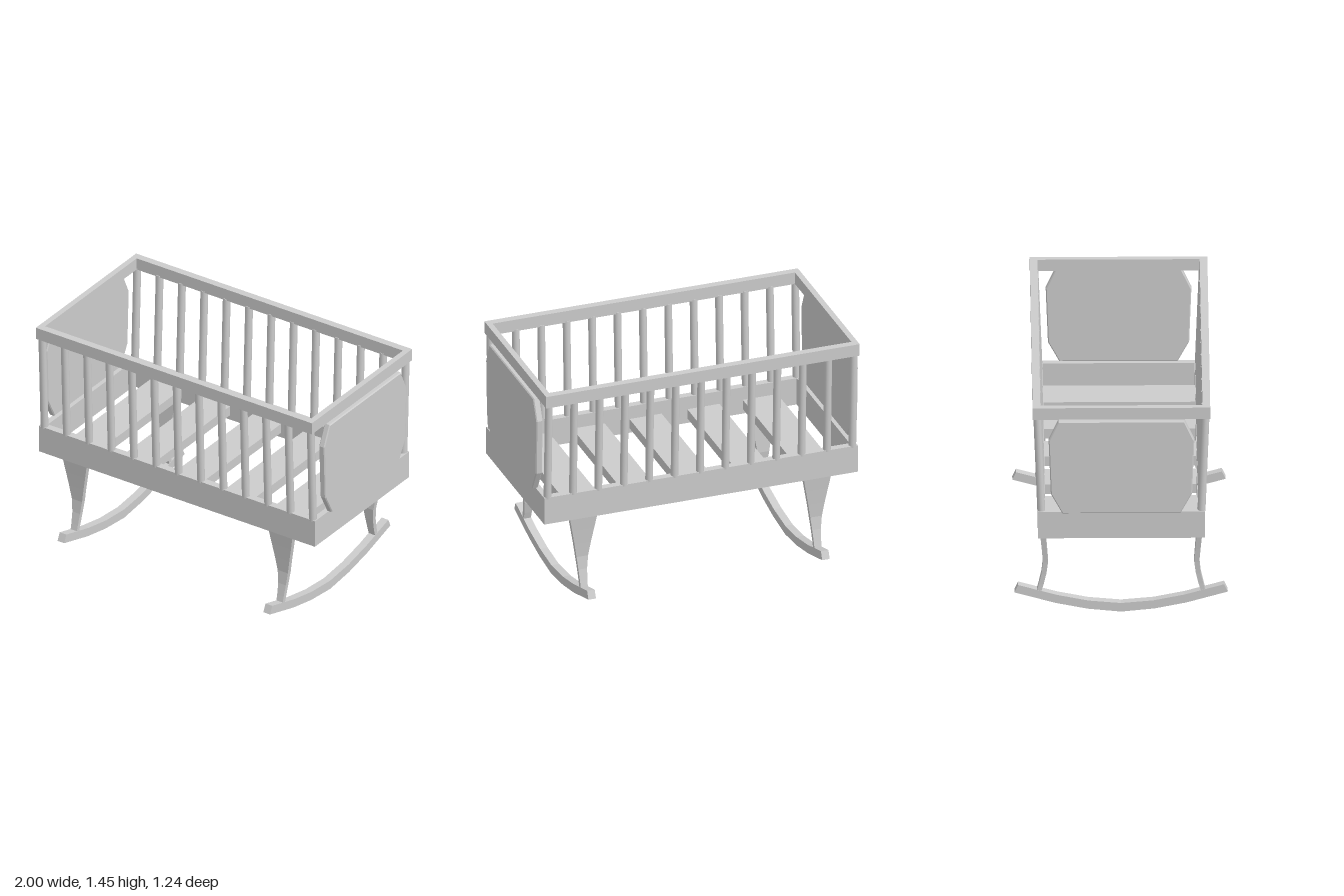
import * as THREE from 'three';

const mat = new THREE.MeshStandardMaterial({ color: 0xcccccc });
const flatMat = new THREE.MeshStandardMaterial({ color: 0xcccccc, flatShading: true });

export function createModel() {
  const model = new THREE.Group();

  const add = (name, geometry, x = 0, y = 0, z = 0, material = flatMat) => {
    const mesh = new THREE.Mesh(geometry, material);
    mesh.name = name;
    mesh.position.set(x, y, z);
    model.add(mesh);
    return mesh;
  };

  // box given by its limits
  const box = (name, x0, x1, y0, y1, z0, z1) =>
    add(name, new THREE.BoxGeometry(x1 - x0, y1 - y0, z1 - z0),
      (x0 + x1) / 2, (y0 + y1) / 2, (z0 + z1) / 2);

  // outline of [z, y] points, extruded along x and centred on x = cx
  const sidePlate = (name, points, width, cx, bevel = 0) => {
    const shape = new THREE.Shape(points.map(([z, y]) => new THREE.Vector2(-z, y)));
    const depth = width - 2 * bevel;
    const geo = new THREE.ExtrudeGeometry(shape, {
      depth, bevelEnabled: bevel > 0, bevelSize: bevel, bevelOffset: -bevel,
      bevelThickness: bevel, bevelSegments: 1,
    });
    geo.translate(0, 0, -depth / 2);
    geo.rotateY(Math.PI / 2);
    return add(name, geo, cx);
  };

  // rectangular open frame made of four boards
  const frame = (name, y0, y1, zOut, zIn) => {
    for (const s of [-1, 1]) {
      box(name + 'Side', -0.975, 0.975, y0, y1, Math.min(s * zIn, s * zOut), Math.max(s * zIn, s * zOut));
      box(name + 'End', s > 0 ? 0.94 : -0.975, s > 0 ? 0.975 : -0.94, y0, y1, -zIn, zIn);
    }
  };
  frame('topRail', 1.37, 1.445, 0.518, 0.473);
  frame('lowerFrame', 0.595, 0.767, 0.487, 0.443);

  // spindles, leaning slightly outward
  const lean = Math.atan2(0.023, 0.61);
  const spindleGeo = new THREE.CylinderGeometry(0.023, 0.023, 0.62, 12);
  for (let i = 0; i < 13; i++) {
    for (const s of [-1, 1]) {
      const spindle = add('spindle', spindleGeo, (i - 6) * 0.158, 1.068, s * 0.479, mat);
      spindle.rotation.x = s * lean;
    }
  }

  // end panels with cut corners
  const half = [[0.345, 0.768], [0.412, 0.895], [0.425, 1.242], [0.368, 1.368]];
  const panel = [...half, ...half.map(([z, y]) => [-z, y]).reverse()];
  for (const s of [-1, 1]) sidePlate('endPanel', panel, 0.04, s * 0.98, 0.006);

  // mattress slats
  for (const [x, w] of [[-0.712, 0.215], [-0.36, 0.2], [0, 0.2], [0.355, 0.2], [0.708, 0.215]]) {
    box('slat', x - w / 2, x + w / 2, 0.625, 0.685, -0.443, 0.443);
  }

  // rockers
  const under = [[-0.622, 0.128], [-0.38, 0.058], [-0.195, 0.02], [0, 0],
    [0.195, 0.02], [0.38, 0.058], [0.622, 0.128]];
  const upper = [[0.6, 0.176], [0.37, 0.11], [0.19, 0.073], [0, 0.056],
    [-0.19, 0.073], [-0.37, 0.11], [-0.6, 0.176]];
  for (const s of [-1, 1]) sidePlate('rocker', [...under, ...upper], 0.047, s * 0.727);

  // legs: rectangular sections [y, half width, inner z, outer z]
  const legGeo = loft([
    [0.125, 0.022, 0.468, 0.494], [0.18, 0.023, 0.452, 0.48], [0.25, 0.027, 0.436, 0.464],
    [0.33, 0.036, 0.426, 0.456], [0.42, 0.051, 0.433, 0.463], [0.51, 0.068, 0.44, 0.471],
    [0.6, 0.085, 0.447, 0.48],
  ]);
  for (const sx of [-1, 1]) {
    for (const turn of [0, Math.PI]) add('leg', legGeo, sx * 0.727).rotation.y = turn;
  }
  return model;
}

// solid through stacked rectangles, capped at both ends
function loft(sections) {
  const pos = [];
  const index = [];
  for (const [y, h, z0, z1] of sections) pos.push(-h, y, z0, -h, y, z1, h, y, z1, h, y, z0);
  for (let i = 0; i < sections.length - 1; i++) {
    for (let j = 0; j < 4; j++) {
      const a = i * 4 + j, b = i * 4 + (j + 1) % 4;
      index.push(a, b, b + 4, a, b + 4, a + 4);
    }
  }
  const t = (sections.length - 1) * 4;
  index.push(0, 2, 1, 0, 3, 2, t, t + 1, t + 2, t, t + 2, t + 3);
  const geo = new THREE.BufferGeometry();
  geo.setAttribute('position', new THREE.Float32BufferAttribute(pos, 3));
  geo.setIndex(index);
  const flat = geo.toNonIndexed();
  flat.computeVertexNormals();
  return flat;
}
